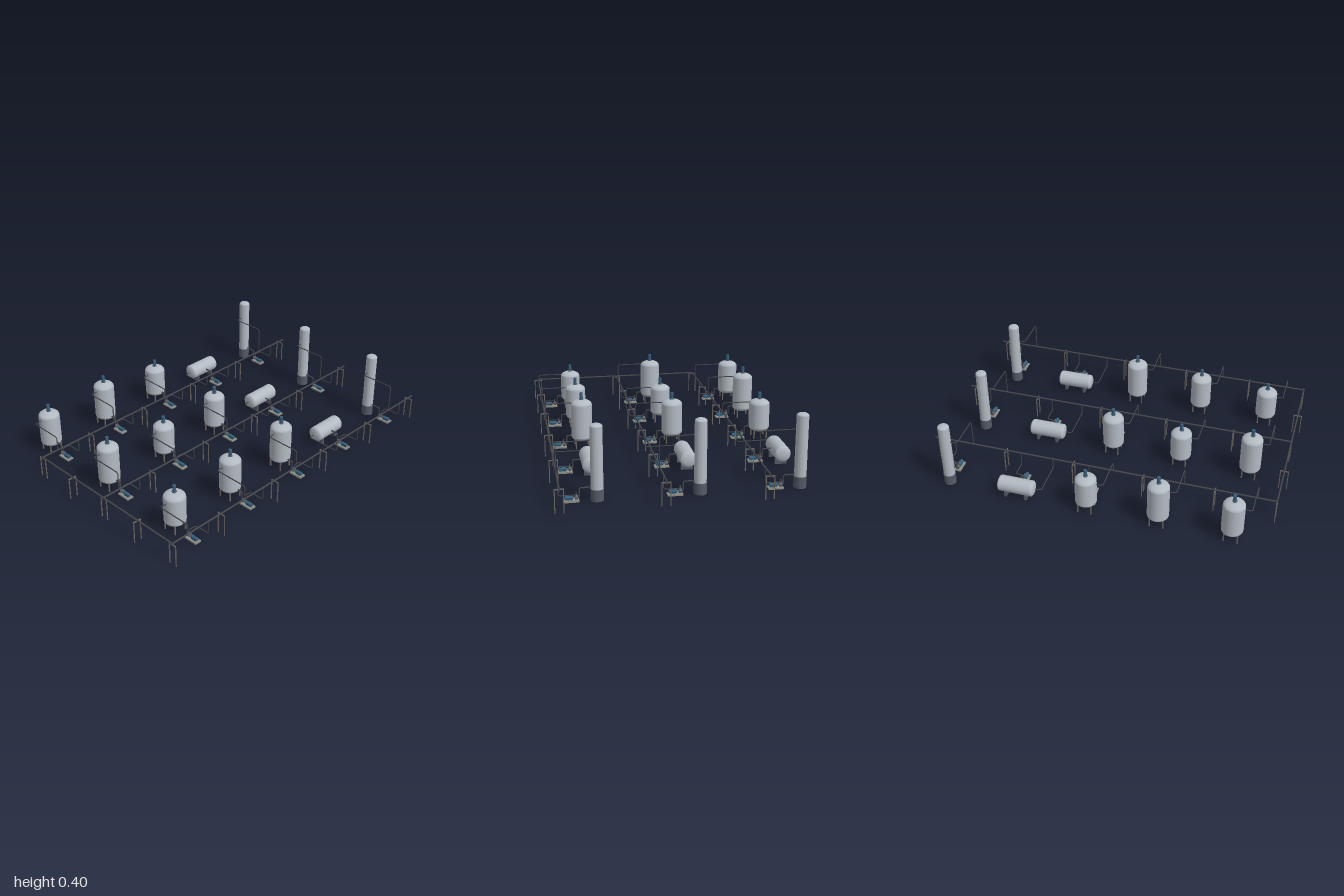
import * as THREE from 'three';

const mat = (color) => new THREE.MeshStandardMaterial({ color });
const STEEL = mat(0xb2bac2), SKIRT = mat(0x555a66), PIPE = mat(0x45464a),
  POST = mat(0x6e675f), BLUE = mat(0x34607f), BASE = mat(0x8c8c84), CAST = mat(0x5c666c);

const COLUMNS = [-0.776, -0.374, 0.028, 0.43, 0.832];
const ROWS = [0.444, -0.08, -0.604];       // vessel centre line of each row
const RACK = 0.198;                        // rack lies this far in front of the vessels
const SIDE_X = -0.976, HEADER_Y = 0.131;
const TANK_HEIGHTS = [0.235, 0.259, 0.283];

function add(parent, name, geometry, material, x = 0, y = 0, z = 0) {
  const mesh = new THREE.Mesh(geometry, material);
  mesh.name = name;
  mesh.position.set(x, y, z);
  parent.add(mesh);
  return mesh;
}

const box = (w, h, d) => new THREE.BoxGeometry(w, h, d);
const cyl = (r, h, n = 20) => new THREE.CylinderGeometry(r, r, h, n);

// Closed shell with elliptical heads, standing on y = 0
function shell(radius, height, head) {
  const pts = [];
  for (let i = 0; i <= 8; i++) {
    const a = (i / 8) * Math.PI / 2;
    pts.push(new THREE.Vector2(radius * Math.sin(a), head * (1 - Math.cos(a))));
  }
  const upper = pts.map((p) => new THREE.Vector2(p.x, height - p.y)).reverse();
  return new THREE.LatheGeometry([...pts, ...upper], 32);
}

// Pipe through corner points with rounded elbows
function pipe(parent, name, corners, radius = 0.003, bend = 0.016) {
  const p = corners.map((c) => new THREE.Vector3(...c));
  const path = new THREE.CurvePath();
  let from = p[0];
  for (let i = 1; i < p.length - 1; i++) {
    const before = p[i - 1].clone().sub(p[i]), after = p[i + 1].clone().sub(p[i]);
    const r = Math.min(bend, before.length() * 0.45, after.length() * 0.45);
    const a = p[i].clone().addScaledVector(before.normalize(), r);
    const b = p[i].clone().addScaledVector(after.normalize(), r);
    path.add(new THREE.LineCurve3(from, a));
    path.add(new THREE.QuadraticBezierCurve3(a, p[i], b));
    from = b;
  }
  path.add(new THREE.LineCurve3(from, p[p.length - 1]));
  add(parent, name, new THREE.TubeGeometry(path, 56, radius, 8), PIPE);
}

// Upright stirred tank on four legs
function tank(height) {
  const g = new THREE.Group();
  g.name = 'stirredTank';
  add(g, 'tankShell', shell(0.06, height - 0.037, 0.03), STEEL, 0, 0.037);
  for (const sx of [-1, 1]) for (const sz of [-1, 1])
    add(g, 'tankLeg', box(0.007, 0.064, 0.007), POST, sx * 0.037, 0.032, sz * 0.037);
  add(g, 'stirrerFlange', cyl(0.013, 0.006), CAST, 0, height + 0.001);
  add(g, 'stirrerMotor', cyl(0.0095, 0.04), BLUE, 0, height + 0.02);
  return g;
}

// Lying drum on two saddles
function drum() {
  const g = new THREE.Group();
  g.name = 'horizontalDrum';
  const body = shell(0.045, 0.216, 0.018);
  body.translate(0, -0.108, 0);
  body.rotateZ(Math.PI / 2);
  add(g, 'drumShell', body, STEEL, 0, 0.067);
  for (const s of [-1, 1]) add(g, 'saddle', box(0.014, 0.04, 0.066), SKIRT, s * 0.058, 0.02);
  return g;
}

// Slim column on a dark skirt
function column() {
  const g = new THREE.Group();
  g.name = 'column';
  add(g, 'columnShell', shell(0.032, 0.357, 0.015), STEEL, 0, 0.045);
  add(g, 'columnSkirt', cyl(0.0335, 0.062, 32), SKIRT, 0, 0.031);
  return g;
}

// Pump and motor on a base plate
function pump() {
  const g = new THREE.Group();
  g.name = 'pump';
  add(g, 'pumpBase', box(0.04, 0.009, 0.08), BASE, 0, 0.0045, 0.13);
  add(g, 'pumpCasing', cyl(0.012, 0.014), CAST, 0, 0.021, 0.103).rotation.x = Math.PI / 2;
  add(g, 'pumpShaft', cyl(0.004, 0.014, 10), CAST, 0, 0.021, 0.115).rotation.x = Math.PI / 2;
  add(g, 'pumpMotor', cyl(0.0095, 0.042), BLUE, 0, 0.021, 0.142).rotation.x = Math.PI / 2;
  add(g, 'motorFoot', box(0.016, 0.008, 0.034), BLUE, 0, 0.012, 0.142);
  return g;
}

// Vessel with its pump, suction, discharge and outlet pipes
function station(vessel, halfWidth, depth, outletY) {
  const g = new THREE.Group();
  g.name = 'processStation';
  const side = -halfWidth - 0.036;
  g.add(vessel, pump());
  pipe(g, 'suctionPipe', [[0, 0.07, depth - 0.008], [0, 0.07, 0.089], [0, 0.021, 0.089], [0, 0.021, 0.1]], 0.004, 0.012);
  pipe(g, 'dischargePipe', [[0, 0.025, 0.106], [0, 0.052, 0.106], [0.046, 0.052, 0.106],
    [0.046, 0.052, RACK], [0.046, HEADER_Y, RACK]]);
  pipe(g, 'outletPipe', [[-halfWidth + 0.01, outletY, 0], [side, outletY, 0],
    [side, outletY, RACK], [side, HEADER_Y, RACK]]);
  return g;
}

// Two posts and a cross beam below the header
function support(x, z, alongX) {
  const g = new THREE.Group();
  g.name = 'rackSupport';
  for (const s of [-1, 1]) add(g, 'rackPost', box(0.005, 0.125, 0.005), POST, 0, 0.0625, s * 0.022);
  add(g, 'crossBeam', box(0.005, 0.006, 0.049), POST, 0, 0.124, 0);
  if (alongX) g.rotation.y = Math.PI / 2;
  g.position.set(x, 0, z);
  return g;
}

export function createModel() {
  const model = new THREE.Group();
  model.name = 'processPlant';

  ROWS.forEach((z, row) => {
    COLUMNS.forEach((x, col) => {
      let s;
      if (col < 3) {
        const h = TANK_HEIGHTS[(col - row + 3) % 3];
        s = station(tank(h), 0.06, 0.06, h - 0.047);
      } else if (col === 3) s = station(drum(), 0.108, 0.045, 0.068);
      else s = station(column(), 0.032, 0.032, 0.291);
      s.position.set(x, 0, z);
      model.add(s, support(x + 0.137, z + RACK, false));
    });
    // Row header
    const header = add(model, 'rowHeader', cyl(0.0048, 1 - SIDE_X, 12), PIPE, (1 + SIDE_X) / 2, HEADER_Y, z + RACK);
    header.rotation.z = Math.PI / 2;
    model.add(support(SIDE_X, z + RACK, false));
    if (row < 2) model.add(support(SIDE_X, (z + ROWS[row + 1]) / 2 + RACK, true));
  });

  // Side header joining the rows
  const length = ROWS[0] - ROWS[2];
  const side = add(model, 'sideHeader', cyl(0.0048, length, 12), PIPE, SIDE_X, HEADER_Y, (ROWS[0] + ROWS[2]) / 2 + RACK);
  side.rotation.x = Math.PI / 2;
  return model;
}
